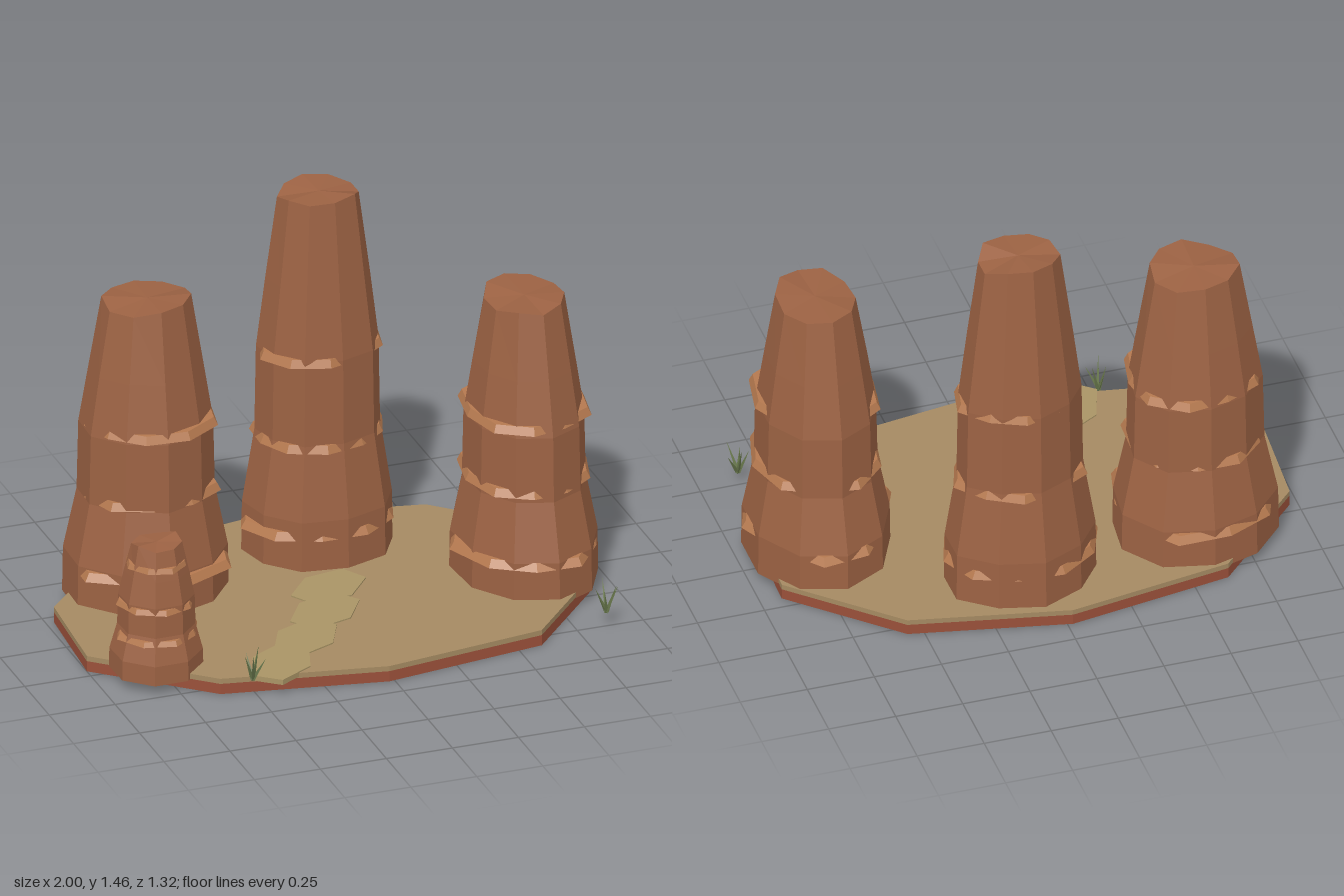
import * as THREE from 'three';

const mat = (color) => new THREE.MeshStandardMaterial({ color, flatShading: true });

// Small seeded random source
function seeded(seed) {
  let s = seed;
  return () => {
    s = (s * 16807) % 2147483647;
    return s / 2147483647;
  };
}

// Skin a stack of point rings (bottom to top), optionally capped
function loft(rings, caps = true) {
  const pos = [];
  const tri = (...points) => points.forEach((p) => pos.push(p.x, p.y, p.z));
  const n = rings[0].length;
  const centre = (ring) => ring.reduce((c, p) => c.addScaledVector(p, 1 / n), new THREE.Vector3());
  const first = rings[0], last = rings[rings.length - 1];
  const low = centre(first), high = centre(last);
  for (let j = 0; j < n; j++) {
    const k = (j + 1) % n;
    for (let i = 0; i < rings.length - 1; i++) {
      const a = rings[i], b = rings[i + 1];
      tri(a[j], b[j], b[k]);
      tri(a[j], b[k], a[k]);
    }
    if (caps) {
      tri(low, first[j], first[k]);
      tri(high, last[k], last[j]);
    }
  }
  const geo = new THREE.BufferGeometry();
  geo.setAttribute('position', new THREE.Float32BufferAttribute(pos, 3));
  geo.computeVertexNormals();
  return geo;
}

function add(parent, name, geometry, material) {
  const mesh = new THREE.Mesh(geometry, material);
  mesh.name = name;
  parent.add(mesh);
  return mesh;
}

// Shared pillar outline: [height fraction, radius fraction]
const PROFILE = [[0, 1], [0.15, 0.99], [0.35, 0.83], [0.58, 0.81], [0.77, 0.69], [1, 0.54]];

function radiusAt(t) {
  const i = Math.max(1, PROFILE.findIndex((p) => p[0] >= t));
  const [t0, r0] = PROFILE[i - 1], [t1, r1] = PROFILE[i];
  return THREE.MathUtils.lerp(r0, r1, (t - t0) / (t1 - t0));
}

function pillar({ name, x, z, rx, rz, top, sides, seed, ledges }, rock, ledgeRock) {
  const group = new THREE.Group();
  group.name = name;
  group.position.set(x, 0, z);
  const rand = seeded(seed);
  const base = 0.038;
  const wobble = Array.from({ length: sides }, () => 0.97 + rand() * 0.07);
  const phase = rand();
  const point = (j, r, y) => {
    const a = ((j + phase) / sides) * Math.PI * 2;
    return new THREE.Vector3(Math.cos(a) * rx * r, y, Math.sin(a) * rz * r);
  };

  // Faceted shaft with a slightly uneven crown
  const rings = PROFILE.map(([t, r]) => wobble.map((w, j) => {
    const lift = t === 1 ? (rand() - 0.6) * 0.03 : 0;
    return point(j, r * w, base + t * (top - base) + lift);
  }));
  add(group, 'shaft', loft(rings), rock);

  // Strata ledges: thin uneven collars whose corners break through the faces
  for (const y of ledges) {
    const r = radiusAt((y - base) / (top - base));
    const turn = 0.3 + rand() * 0.4;
    const thick = Math.min(0.03, rx * 0.11);
    const reach = wobble.map(() => 0.95 + rand() * 0.17);
    const collar = [[-0.5, 1], [0.5, 0.94]].map(([h, s]) =>
      reach.map((k, j) => point(j + turn, r * k * s, y + h * thick)));
    add(group, 'strataLedge', loft(collar), ledgeRock);
  }
  return group;
}

export function createModel() {
  const model = new THREE.Group();
  model.name = 'desertPillars';
  const rock = mat(0x9c6243), ledgeRock = mat(0xb5794f), sand = mat(0xa58a62);
  const patch = mat(0xa99465), grass = mat(0x66754a), rim = mat(0x9a503a);
  rim.side = THREE.DoubleSide;

  // Ground: sand slab over an open red rim
  const outline = [
    [0.91, 0.21], [0.59, 0.57], [-0.02, 0.66], [-0.62, 0.55], [-1, 0.21],
    [-0.97, -0.21], [-0.63, -0.56], [-0.02, -0.66], [0.56, -0.54], [0.92, -0.2],
  ];
  const ring = (y) => outline.map(([x, z]) => new THREE.Vector3(x, y, z));
  add(model, 'sandGround', loft([ring(0.04), ring(0.06)]), sand);
  add(model, 'redRim', loft([ring(0), ring(0.04)], false), rim);

  // Rock pillars
  const pillars = [
    { name: 'rightPillar', x: -0.59, z: -0.28, rx: 0.3, rz: 0.28, top: 1.19, sides: 10, seed: 1871, ledges: [0.19, 0.46, 0.73] },
    { name: 'tallPillar', x: 0.095, z: -0.375, rx: 0.275, rz: 0.23, top: 1.45, sides: 10, seed: 5023, ledges: [0.19, 0.52, 0.855] },
    { name: 'leftPillar', x: 0.72, z: 0.04, rx: 0.265, rz: 0.325, top: 1.125, sides: 10, seed: 9177, ledges: [0.19, 0.45, 0.7] },
    { name: 'smallPillar', x: -0.78, z: 0.335, rx: 0.17, rz: 0.165, top: 0.535, sides: 8, seed: 3391, ledges: [0.19, 0.31, 0.46] },
  ];
  pillars.forEach((p) => model.add(pillar(p, rock, ledgeRock)));

  // Faint trail of flat sand patches
  [[0, -0.02], [-0.08, 0.16], [-0.22, 0.34], [-0.37, 0.5]].forEach(([x, z], i) => {
    const slab = add(model, 'sandPatch', new THREE.CylinderGeometry(0.165, 0.165, 0.02, 6), patch);
    slab.position.set(x, 0.055, z);
    slab.rotation.y = Math.PI / 6 + i * 0.12;
    slab.scale.z = 0.66;
  });

  // Grass tufts: thin blades leaning outwards
  const blade = new THREE.ConeGeometry(0.009, 0.12, 3).translate(0, 0.06, 0);
  [[-0.51, 0.585], [0.86, 0.5]].forEach(([x, z], t) => {
    const tuft = new THREE.Group();
    tuft.name = 'grassTuft';
    tuft.position.set(x, 0.055, z);
    for (let i = 0; i < 5; i++) {
      const b = add(tuft, 'grassBlade', blade, grass);
      b.rotation.set(0, (i / 5) * Math.PI * 2 + t, 0.3 + (i % 3) * 0.1, 'YXZ');
      b.scale.y = 0.85 + (i % 2) * 0.2;
    }
    model.add(tuft);
  });

  return model;
}
